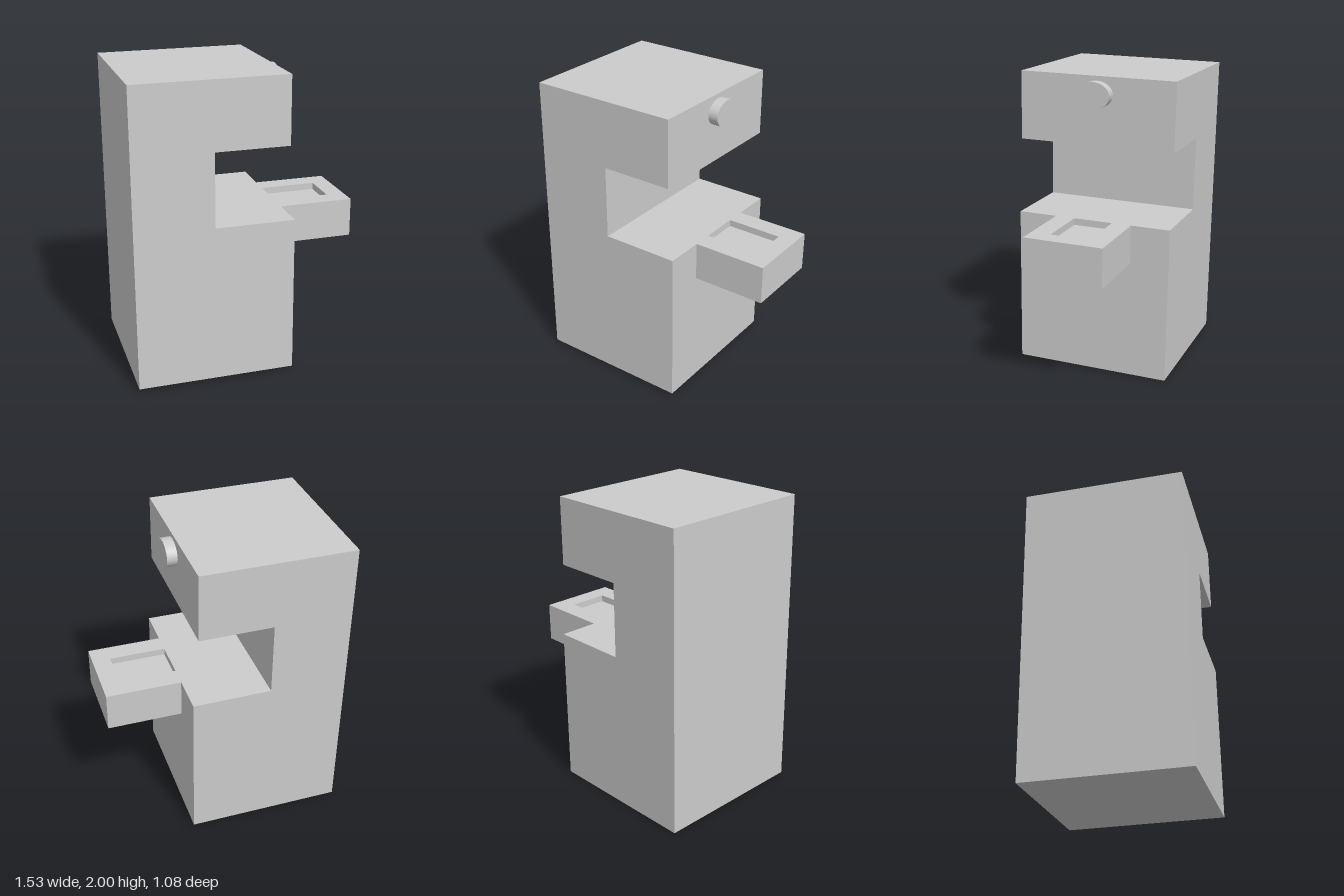
import * as THREE from 'three';

const material = new THREE.MeshStandardMaterial({ color: 0xcccccc });

function add(parent, name, geometry) {
  const mesh = new THREE.Mesh(geometry, material);
  mesh.name = name;
  parent.add(mesh);
  return mesh;
}

function extrude(points, depth) {
  const shape = new THREE.Shape(points.map(([x, y]) => new THREE.Vector2(x, y)));
  return new THREE.ExtrudeGeometry(shape, { depth, bevelEnabled: false });
}

export function createModel() {
  const group = new THREE.Group();
  group.name = 'cabinetMachine';

  // The whole machine leans back by about one degree around its centre
  const machine = new THREE.Group();
  machine.name = 'machine';
  machine.position.y = 1;
  machine.rotation.x = -0.0172;
  group.add(machine);

  // C-shaped cabinet: base, rear column and overhanging head
  const depth = 1.045, deck = 0.055;
  const cabinet = extrude([
    [-0.768, -0.99], [0.27, -0.99], [0.27, deck], [-0.25, deck],
    [-0.25, 0.544], [0.235, 0.544], [0.235, 0.99], [-0.768, 0.99],
  ], depth);
  cabinet.translate(0, 0, -depth / 2);
  add(machine, 'cabinet', cabinet);

  // Tray: solid lower block with a U-shaped rim around a shallow recess
  const tray = new THREE.Group();
  tray.name = 'tray';
  machine.add(tray);
  const x0 = 0.27, x1 = 0.765, half = 0.262, recess = 0.045;
  const bottom = -0.203, floor = deck - recess;
  const block = new THREE.BoxGeometry(x1 - x0, floor - bottom, half * 2);
  block.translate((x0 + x1) / 2, (floor + bottom) / 2, 0);
  add(tray, 'trayBlock', block);

  const rim = extrude([
    [x0, -half], [x1, -half], [x1, half], [x0, half],
    [x0, 0.131], [0.645, 0.131], [0.645, -0.131], [x0, -0.131],
  ], recess);
  rim.rotateX(-Math.PI / 2);
  rim.translate(0, floor, 0);
  add(tray, 'trayRim', rim);

  // Oval button on the face of the head
  const button = new THREE.CylinderGeometry(1, 1, 0.067, 48);
  button.rotateZ(-Math.PI / 2);
  button.scale(1, 0.085, 0.11);
  button.translate(0.2685, 0.875, 0);
  add(machine, 'button', button);

  return group;
}
